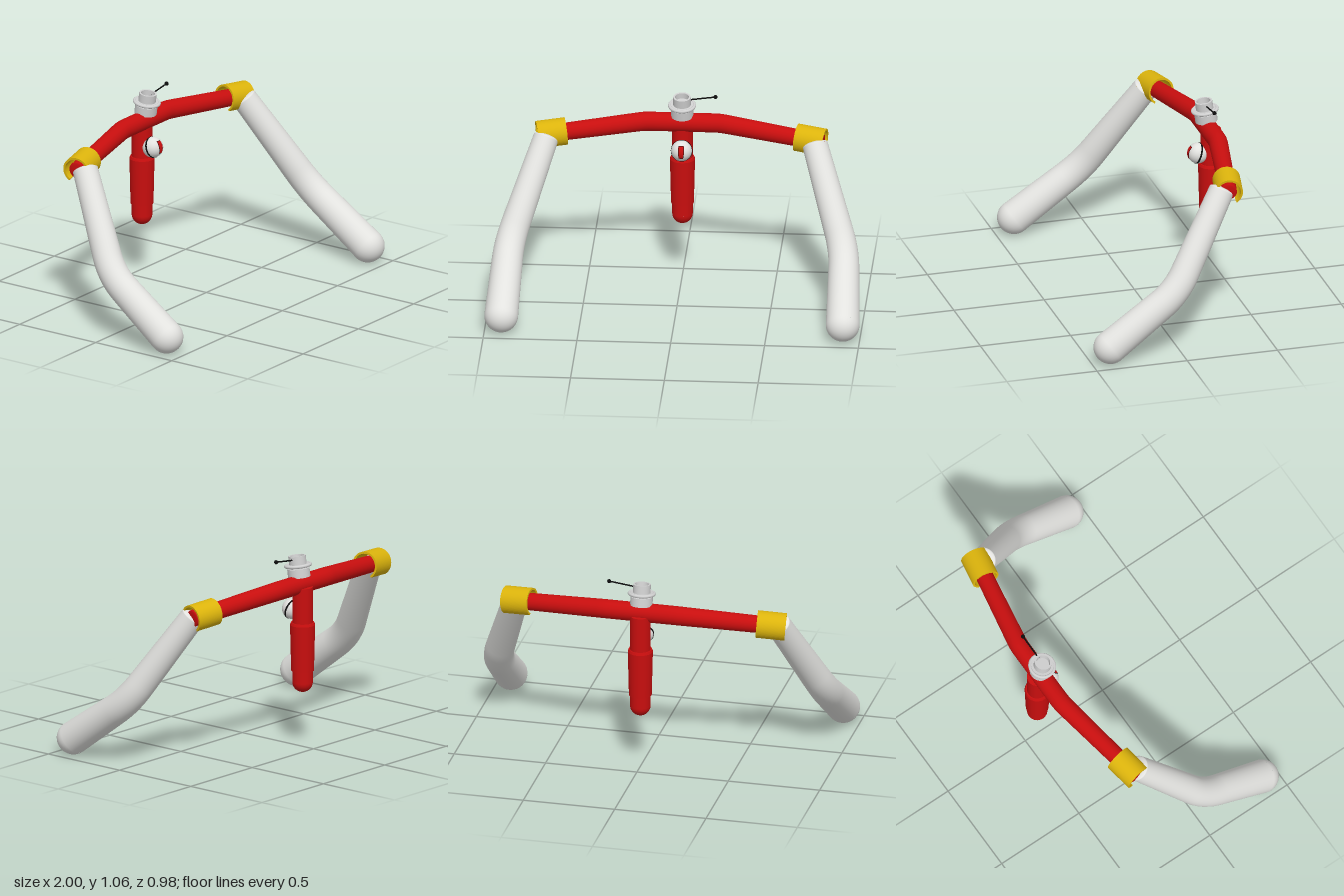
import * as THREE from 'three';

const mat = (name, color) => Object.assign(new THREE.MeshStandardMaterial({ color }), { name });
const V = (x, y, z) => new THREE.Vector3(x, y, z);
const UP = V(0, 1, 0);

// Polyline path whose corners are rounded with short curves
function roundedPath(points, r) {
  const path = new THREE.CurvePath();
  let from = points[0];
  for (let i = 1; i < points.length - 1; i++) {
    const p = points[i];
    const a = p.clone().add(points[i - 1].clone().sub(p).setLength(r));
    const b = p.clone().add(points[i + 1].clone().sub(p).setLength(r));
    path.add(new THREE.LineCurve3(from, a));
    path.add(new THREE.QuadraticBezierCurve3(a, p, b));
    from = b;
  }
  path.add(new THREE.LineCurve3(from, points[points.length - 1]));
  return path;
}

// Tube whose radius follows radiusAt(t)
function taperedTube(path, segments, radiusAt) {
  const sides = 32;
  const geo = new THREE.TubeGeometry(path, segments, 1, sides, false);
  const pos = geo.attributes.position;
  const v = new THREE.Vector3();
  for (let i = 0; i <= segments; i++) {
    const t = i / segments;
    const c = path.getPointAt(t);
    for (let j = 0; j <= sides; j++) {
      const k = i * (sides + 1) + j;
      v.fromBufferAttribute(pos, k).sub(c).multiplyScalar(radiusAt(t)).add(c);
      pos.setXYZ(k, v.x, v.y, v.z);
    }
  }
  return geo;
}

export function createModel() {
  const model = new THREE.Group();
  model.name = 'handlebar';
  const red = mat('red paint', 0xc80e0e);
  const white = mat('white grip', 0xe2e2df);
  const yellow = mat('yellow collar', 0xdcb40c);
  const metal = mat('light grey metal', 0xd0d0d0);
  const black = mat('black', 0x0c0c0c);

  const add = (name, geo, material, parent = model) => {
    const mesh = new THREE.Mesh(geo, material);
    mesh.name = name;
    parent.add(mesh);
    return mesh;
  };
  // Dome closing a tube end; flat squashes it along its direction
  const dome = (name, at, dir, r, flat, material) => {
    const geo = new THREE.SphereGeometry(r, 32, 12, 0, Math.PI * 2, 0, Math.PI / 2);
    const mesh = add(name, geo.scale(1, flat, 1), material);
    mesh.position.copy(at);
    mesh.quaternion.setFromUnitVectors(UP, dir.clone().normalize());
  };

  // Crossbar
  const barEnd = s => V(s * 0.755, 0.839, -0.301);
  const barBend = s => V(s * 0.2, 0.89, -0.405);
  const barPath = roundedPath([barEnd(-1), barBend(-1), barBend(1), barEnd(1)], 0.03);
  add('crossbar', taperedTube(barPath, 60,
    t => 0.051 - 0.008 * Math.max(0, Math.abs(t - 0.5) * 2 - 0.26)), red);

  // Collar section: a ring open at the bottom
  const collarShape = new THREE.Shape();
  const gapStart = -Math.PI / 2 + 0.6, gapEnd = Math.PI * 1.5 - 0.6;
  collarShape.absarc(0, 0, 0.074, gapStart, gapEnd, false);
  collarShape.absarc(0, 0, 0.063, gapEnd, gapStart, true);
  collarShape.closePath();

  for (const s of [-1, 1]) {
    const side = s > 0 ? 'left' : 'right';
    const axis = barEnd(s).sub(barBend(s));
    dome(side + 'BarEnd', barEnd(s), axis, 0.045, 0.15, red);

    const collarGeo = new THREE.ExtrudeGeometry(collarShape,
      { depth: 0.155, bevelEnabled: false, curveSegments: 40 });
    const collar = add(side + 'Collar', collarGeo.translate(0, 0, -0.0775), yellow);
    collar.position.set(s * 0.69, 0.846, -0.315);
    collar.lookAt(collar.position.clone().add(axis));

    // Bent grip arm
    const top = V(s * 0.718, 0.835, -0.272);
    const bend = V(s * 0.893, 0.355, 0.03);
    const tip = V(s * 0.91, 0.09, 0.4);
    add(side + 'Grip', taperedTube(roundedPath([top, bend, tip], 0.11), 48,
      t => 0.068 + 0.022 * t), white);
    dome(side + 'GripTop', top, top.clone().sub(bend), 0.068, 0.3, white);
    dome(side + 'GripTip', tip, tip.clone().sub(bend), 0.09, 1, white);
  }

  // Stem: rod with rounded foot and a tapered sleeve
  const lathe = (points, n = 40) =>
    new THREE.LatheGeometry(points.map(p => new THREE.Vector2(...p)), n);
  const part = (name, points, material, parent) => {
    // separate bands keep the profile corners crisp
    for (let i = 0; i < points.length - 1; i++)
      add(name, lathe([points[i], points[i + 1]]), material, parent);
  };
  const stem = new THREE.Group();
  stem.name = 'stem';
  stem.position.set(0, 0, -0.423);
  model.add(stem);
  part('stemRod', [[0.055, 0.357], [0.055, 0.88], [0, 0.88]], red, stem);
  const foot = add('stemFoot', new THREE.SphereGeometry(0.055, 32, 12, 0, Math.PI * 2,
    Math.PI / 2, Math.PI / 2), red, stem);
  foot.position.y = 0.357;
  part('stemSleeve', [[0.05, 0.42], [0.061, 0.42], [0.067, 0.672], [0.062, 0.685], [0.05, 0.685]], red, stem);

  // Bell, leaning forward
  const bell = new THREE.Group();
  bell.name = 'bell';
  bell.position.set(0, 0.93, -0.4);
  bell.rotation.x = 0.145;
  model.add(bell);
  part('bellBody', [[0, 0], [0.06, 0], [0.06, 0.048], [0.055, 0.05], [0.055, 0.064]], metal, bell);
  const flange = add('bellFlange', new THREE.TorusGeometry(0.066, 0.009, 12, 48), metal, bell);
  flange.rotation.x = Math.PI / 2;
  flange.position.y = 0.064;
  part('bellDeck', [[0.066, 0.07], [0.04, 0.07]], metal, bell);
  part('bellCup', [[0.047, 0.064], [0.047, 0.116], [0.037, 0.116], [0.035, 0.085], [0, 0.085]], metal, bell);

  // Bell lever
  const leverA = V(0.035, 1.027, -0.388), leverB = V(0.178, 1.046, -0.391);
  add('bellLever', new THREE.TubeGeometry(new THREE.LineCurve3(leverA, leverB), 1, 0.004, 10), black);
  add('leverKnob', new THREE.SphereGeometry(0.011, 16, 12), black).position.copy(leverB);

  // Ball on the stem, with a dark seam and a plain front stripe
  const ball = new THREE.Group();
  ball.name = 'ball';
  ball.position.set(0, 0.747, -0.352);
  ball.rotation.x = -0.32;
  model.add(ball);
  add('ballShell', new THREE.SphereGeometry(0.056, 32, 24), white, ball);
  const seam = add('ballSeam', new THREE.CylinderGeometry(0.0575, 0.0575, 0.009, 40), black, ball);
  seam.rotation.x = Math.PI / 2;
  const patch = (name, r, w, h, material) => add(name, new THREE.SphereGeometry(r, 10, 12,
    Math.PI / 2 - w, 2 * w, Math.PI / 2 + 0.12 - h, 2 * h), material, ball);
  patch('ballStripeEdge', 0.0566, 0.29, 0.66, black);
  patch('ballStripe', 0.0572, 0.24, 0.61, red);

  return model;
}
